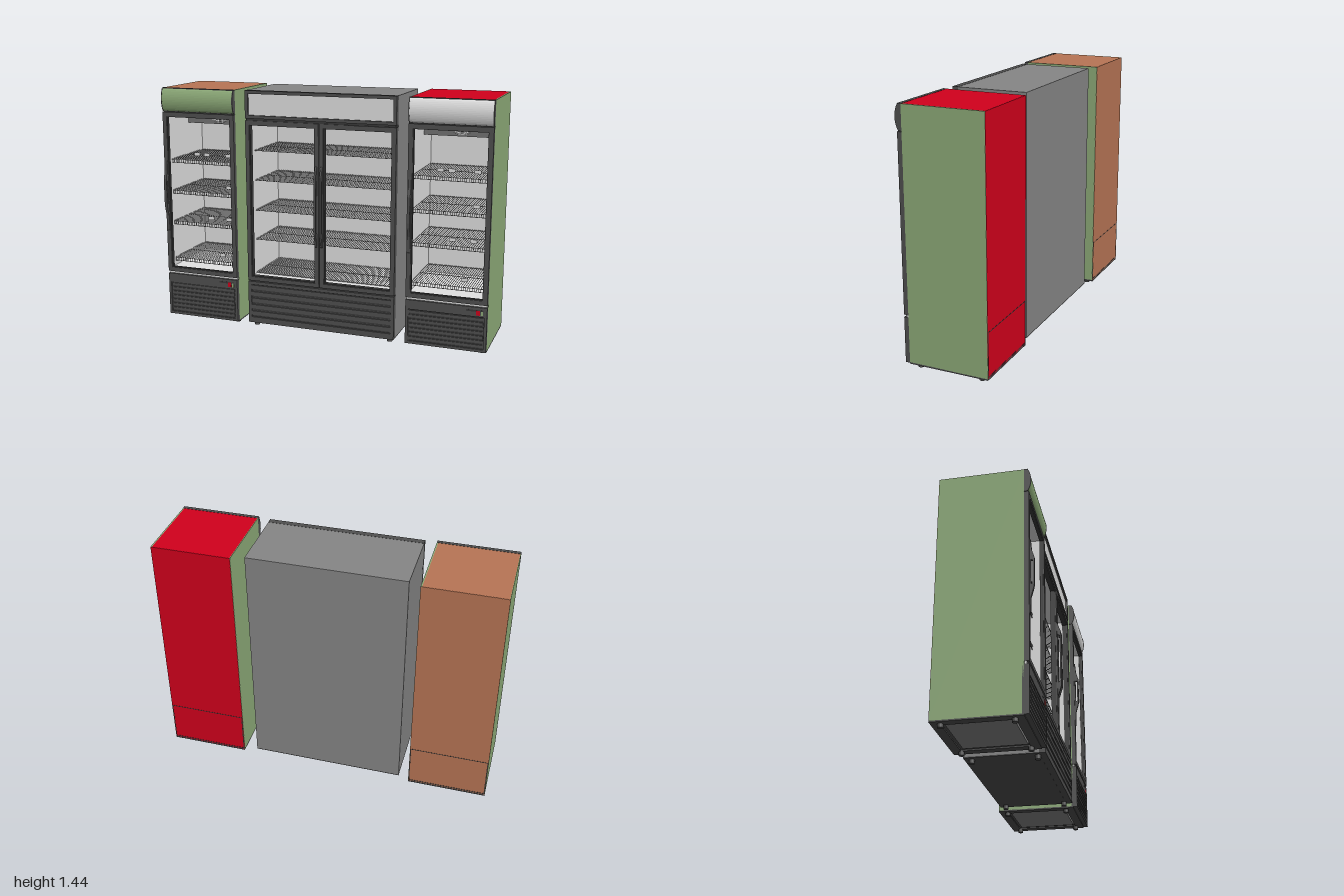
import * as THREE from 'three';
import { mergeGeometries } from 'three/addons/utils/BufferGeometryUtils.js';

const mat = (name, color) => {
  const m = new THREE.MeshStandardMaterial({ color });
  m.name = name;
  return m;
};

export function createModel() {
  const green = mat('green', 0x8fad7a), brown = mat('brown', 0xb87555), red = mat('red', 0xd2001c);
  const grey = mat('cabinet grey', 0x868686), dark = mat('dark frame', 0x505050), black = mat('gasket black', 0x3a3a3a);
  const light = mat('liner light grey', 0xe2e2e2), mid = mat('fan grey', 0x747474), wire = mat('wire grey', 0x8c8c8c);

  const add = (g, name, geo, m) => {
    const mesh = new THREE.Mesh(geo, m);
    mesh.name = name;
    g.add(mesh);
    return mesh;
  };
  // Box given by its limits on each axis
  const boxGeo = (x0, x1, y0, y1, z0, z1) =>
    new THREE.BoxGeometry(x1 - x0, y1 - y0, z1 - z0).translate((x0 + x1) / 2, (y0 + y1) / 2, (z0 + z1) / 2);
  const box = (g, name, m, ...b) => add(g, name, boxGeo(...b), m);

  // Rectangular frame with an opening, facing +z
  const frame = (g, name, m, x0, x1, y0, y1, z0, z1, t) => {
    const rect = (C, a, b, c, d) => {
      const s = new C();
      s.moveTo(a, c).lineTo(b, c).lineTo(b, d).lineTo(a, d).closePath();
      return s;
    };
    const s = rect(THREE.Shape, x0, x1, y0, y1);
    s.holes.push(rect(THREE.Path, x0 + t, x1 - t, y0 + t, y1 - t));
    return add(g, name, new THREE.ExtrudeGeometry(s, { depth: z1 - z0, bevelEnabled: false }).translate(0, 0, z0), m);
  };

  // Side profile of [z, y] points extruded across x
  const profile = (g, name, m, pts, x0, x1, hole) => {
    const s = new THREE.Shape(pts.map(p => new THREE.Vector2(...p)));
    if (hole) s.holes.push(new THREE.Path(hole.map(p => new THREE.Vector2(...p))));
    const geo = new THREE.ExtrudeGeometry(s, { depth: x1 - x0, bevelEnabled: false });
    return add(g, name, geo.rotateY(-Math.PI / 2).translate(x1, 0, 0), m);
  };

  // Wire rack: rods front to back, cross rails, and a lip along the front
  const rack = (g, x0, x1, y, z0, z1, lip) => {
    const parts = [];
    const n = Math.round((x1 - x0) / 0.0125);
    for (let i = 0; i <= n; i++) {
      const x = x0 + (x1 - x0) * i / n;
      parts.push(boxGeo(x - 0.0012, x + 0.0012, y - 0.0012, y + 0.0012, z0, z1));
      if (lip) parts.push(boxGeo(x - 0.0012, x + 0.0012, y - lip, y, z1 - 0.003, z1));
    }
    for (const z of [z0, (z0 + z1) / 2, z1])
      parts.push(boxGeo(x0, x1, y - 0.004, y - 0.001, z - 0.002, z + 0.002));
    if (lip) parts.push(boxGeo(x0, x1, y - lip - 0.0015, y - lip + 0.0015, z1 - 0.003, z1 + 0.001));
    add(g, 'wireShelf', mergeGeometries(parts), wire);
  };

  // Open-fronted light lining
  const liner = (g, x0, x1, y0, y1, z0, z1) => {
    const t = 0.008;
    box(g, 'linerBack', light, x0, x1, y0, y1, z0, z0 + t);
    box(g, 'linerFloor', light, x0, x1, y0, y0 + t, z0, z1);
    box(g, 'linerCeiling', light, x0, x1, y1 - t, y1, z0, z1);
    box(g, 'linerWall', light, x0, x0 + t, y0, y1, z0, z1);
    box(g, 'linerWall', light, x1 - t, x1, y0, y1, z0, z1);
  };

  const feet = (g, w, zs) => {
    for (const x of [-w, w]) for (const z of zs)
      add(g, 'foot', new THREE.CylinderGeometry(0.016, 0.016, 0.028, 16).translate(x, 0.014, z), dark);
  };

  // Narrow single-door cooler, centred on its own x = 0
  const smallCooler = (shell, canopyMat, tags) => {
    const g = new THREE.Group(), W = 0.235;
    for (const s of [-1, 1])
      box(g, 'sidePanel', green, ...(s < 0 ? [-W, -W + 0.004] : [W - 0.008, W]), 0.028, 1.44, -0.259, 0.21);
    box(g, 'topPanel', shell, -W + 0.004, W - 0.008, 1.31, 1.44, -0.259, 0.208);
    box(g, 'backPanel', shell, -W + 0.001, W - 0.001, 0.03, 1.439, -0.26, -0.245);
    frame(g, 'rearServiceSeam', black, -W + 0.003, W - 0.003, 0.035, 0.29, -0.261, -0.259, 0.004);
    box(g, 'machineBay', dark, -W + 0.008, W - 0.008, 0.04, 0.315, -0.245, 0.2);
    frame(g, 'baseFrame', dark, -W, W, -0.21, 0.26, 0, 0.009, 0.05).geometry.rotateX(-Math.PI / 2).translate(0, 0.02, 0);
    box(g, 'undersidePanel', grey, -0.17, 0.17, 0.026, 0.04, -0.195, 0.15);
    liner(g, -W + 0.004, W - 0.008, 0.315, 1.285, -0.245, 0.208);
    box(g, 'doorGap', light, -W + 0.004, W - 0.004, 0.288, 0.302, 0.2, 0.222);
    feet(g, 0.2, [-0.21, 0.16]);

    // Evaporator cover with a half-visible fan
    box(g, 'evaporatorCover', mid, -0.222, 0.222, 1.195, 1.278, -0.235, -0.06);
    const fan = new THREE.Group();
    fan.name = 'fan';
    fan.position.set(0, 1.282, -0.056);
    for (const r of [0.02, 0.035, 0.05, 0.064, 0.077])
      add(fan, 'fanGuardRing', new THREE.TorusGeometry(r, 0.002, 6, 24, Math.PI).rotateZ(Math.PI), light);
    for (let i = 0; i < 4; i++)
      add(fan, 'fanBlade', new THREE.RingGeometry(0.016, 0.072, 8, 1, Math.PI * (1.04 + i * 0.25), 0.55).translate(0, 0, -0.002), light);
    g.add(fan);

    // Shelves and price tags
    for (const y of [1.0, 0.805, 0.61, 0.375]) rack(g, -0.22, 0.22, y, -0.23, 0.165, 0.022);
    for (const [x, y] of tags)
      box(g, 'priceTag', light, x - 0.02, x + 0.02, y - 0.01, y + 0.011, 0.128, 0.132);

    // Door with gasket and pull handle
    frame(g, 'doorFrame', dark, -W, W, 0.302, 1.296, 0.21, 0.236, 0.026);
    frame(g, 'doorGasket', black, -W + 0.022, W - 0.022, 0.324, 1.274, 0.212, 0.23, 0.008);
    profile(g, 'doorHandle', dark,
      [[0.235, 0.56], [0.241, 0.57], [0.244, 0.66], [0.259, 0.715], [0.262, 0.74], [0.262, 0.89], [0.247, 0.94], [0.242, 1], [0.235, 1]],
      -W + 0.006, -W + 0.023, [[0.243, 0.735], [0.253, 0.735], [0.253, 0.875], [0.243, 0.875]]);

    // Curved canopy with dark end caps and backing
    const arc = (o) => {
      const p = [[0.209, 1.302]];
      for (let i = 0; i <= 14; i++) p.push([0.23 + o + 0.018 * Math.sin(Math.PI * i / 14) ** 0.75, 1.302 + 0.136 * i / 14]);
      return [...p, [0.209, 1.438]];
    };
    profile(g, 'canopyFront', canopyMat, arc(-0.001), -W + 0.005, W - 0.005);
    for (const x of [-W, W - 0.005]) profile(g, 'canopyEnd', dark, arc(0), x, x + 0.005);
    box(g, 'canopyTrim', dark, -W, W, 1.436, 1.441, 0.209, 0.231);
    box(g, 'canopyTrim', dark, -W, W, 1.299, 1.303, 0.209, 0.231);
    box(g, 'canopyBacking', dark, -W + 0.004, W - 0.008, 1.285, 1.31, 0.18, 0.209);

    // Lower grille and controls
    box(g, 'grillePanel', dark, -W, W, 0.025, 0.288, 0.2, 0.228);
    frame(g, 'grilleFrame', dark, -W, W, 0.025, 0.288, 0.228, 0.236, 0.016);
    box(g, 'controlFascia', dark, -W, W, 0.232, 0.288, 0.22, 0.236);
    for (let i = 0; i < 7; i++) {
      const y = 0.048 + i * 0.0265;
      box(g, 'grilleSlot', black, -0.215, 0.215, y - 0.007, y + 0.004, 0.228, 0.23);
      box(g, 'grilleLouvre', dark, -0.215, 0.215, y + 0.004, y + 0.0195, 0.228, 0.235);
    }
    box(g, 'controlDisplay', black, 0.115, 0.215, 0.262, 0.272, 0.236, 0.2365);
    box(g, 'powerSwitch', red, 0.173, 0.195, 0.241, 0.269, 0.236, 0.2375);
    box(g, 'indicator', green, 0.2, 0.212, 0.241, 0.265, 0.236, 0.2375);
    return g;
  };

  // Wide double-door cooler
  const wideCooler = () => {
    const g = new THREE.Group(), W = 0.46, zb = -0.23, zf = 0.18;
    for (const x of [-W, W - 0.015]) box(g, 'sidePanel', grey, x, x + 0.015, 0.03, 1.44, zb, zf);
    box(g, 'topPanel', grey, -W, W, 1.27, 1.44, zb, zf);
    box(g, 'backPanel', grey, -W, W, 0.03, 1.44, zb, zb + 0.015);
    box(g, 'machineBay', dark, -W + 0.015, W - 0.015, 0.03, 0.31, zb + 0.015, zf);
    box(g, 'underside', dark, -W, W, 0.024, 0.03, zb, zf);
    liner(g, -W + 0.015, W - 0.015, 0.31, 1.27, zb + 0.015, zf);
    feet(g, 0.425, [-0.19, 0.17]);
    for (const y of [1.08, 0.9, 0.715, 0.535, 0.325]) rack(g, -0.435, 0.435, y, -0.21, 0.14, 0);

    // Illuminated header
    frame(g, 'headerFrame', dark, -W, W, 1.278, 1.441, zf, 0.216, 0.019);
    box(g, 'headerPanel', light, -W + 0.015, W - 0.015, 1.29, 1.425, zf, 0.205);
    box(g, 'headerSeam', black, -W + 0.004, W - 0.004, 1.266, 1.278, zf, 0.208);

    // Mirrored doors and handles
    for (const s of [-1, 1]) {
      const [x0, x1] = s < 0 ? [-W, -0.002] : [0.002, W];
      frame(g, 'doorFrame', dark, x0, x1, 0.292, 1.266, zf, 0.216, 0.025);
      frame(g, 'doorGasket', black, x0 + 0.021, x1 - 0.021, 0.313, 1.245, zf, 0.209, 0.008);
      const x = s * 0.017;
      profile(g, 'doorHandle', dark,
        [[0.214, 0.535], [0.222, 0.545], [0.239, 0.6], [0.241, 0.64], [0.241, 0.92], [0.239, 0.96], [0.222, 1.01], [0.214, 1.02]],
        x - 0.006, x + 0.006, [[0.22, 0.62], [0.232, 0.63], [0.232, 0.93], [0.22, 0.94]]);
    }

    // Lower grille
    box(g, 'grillePanel', dark, -W, W, 0.025, 0.286, zf, 0.207);
    frame(g, 'grilleFrame', dark, -W, W, 0.025, 0.286, 0.207, 0.216, 0.02);
    box(g, 'kickPlate', dark, -W, W, 0.025, 0.06, 0.2, 0.216);
    for (let i = 0; i < 5; i++) {
      const y = 0.062 + i * 0.041;
      box(g, 'grilleSlot', black, -0.44, 0.44, y, y + 0.01, 0.207, 0.209);
      box(g, 'grilleLouvre', dark, -0.44, 0.44, y + 0.01, y + 0.036, 0.207, 0.215);
    }
    return g;
  };

  const model = new THREE.Group();
  model.name = 'coolerRow';
  const place = (g, name, x) => {
    g.name = name;
    g.position.x = x;
    model.add(g);
  };
  place(smallCooler(brown, green, [[-0.065, 1.03], [0, 1.03], [0.145, 1.03], [0.145, 0.835], [0.02, 0.635], [0.14, 0.635], [0.09, 0.405]]), 'brownCooler', -0.765);
  place(wideCooler(), 'wideCooler', -0.004);
  place(smallCooler(red, light, [[-0.075, 1.03], [-0.01, 1.03], [0.135, 1.03], [0.135, 0.835], [0.005, 0.635], [0.125, 0.635], [0.08, 0.405]]), 'redCooler', 0.765);
  return model;
}
